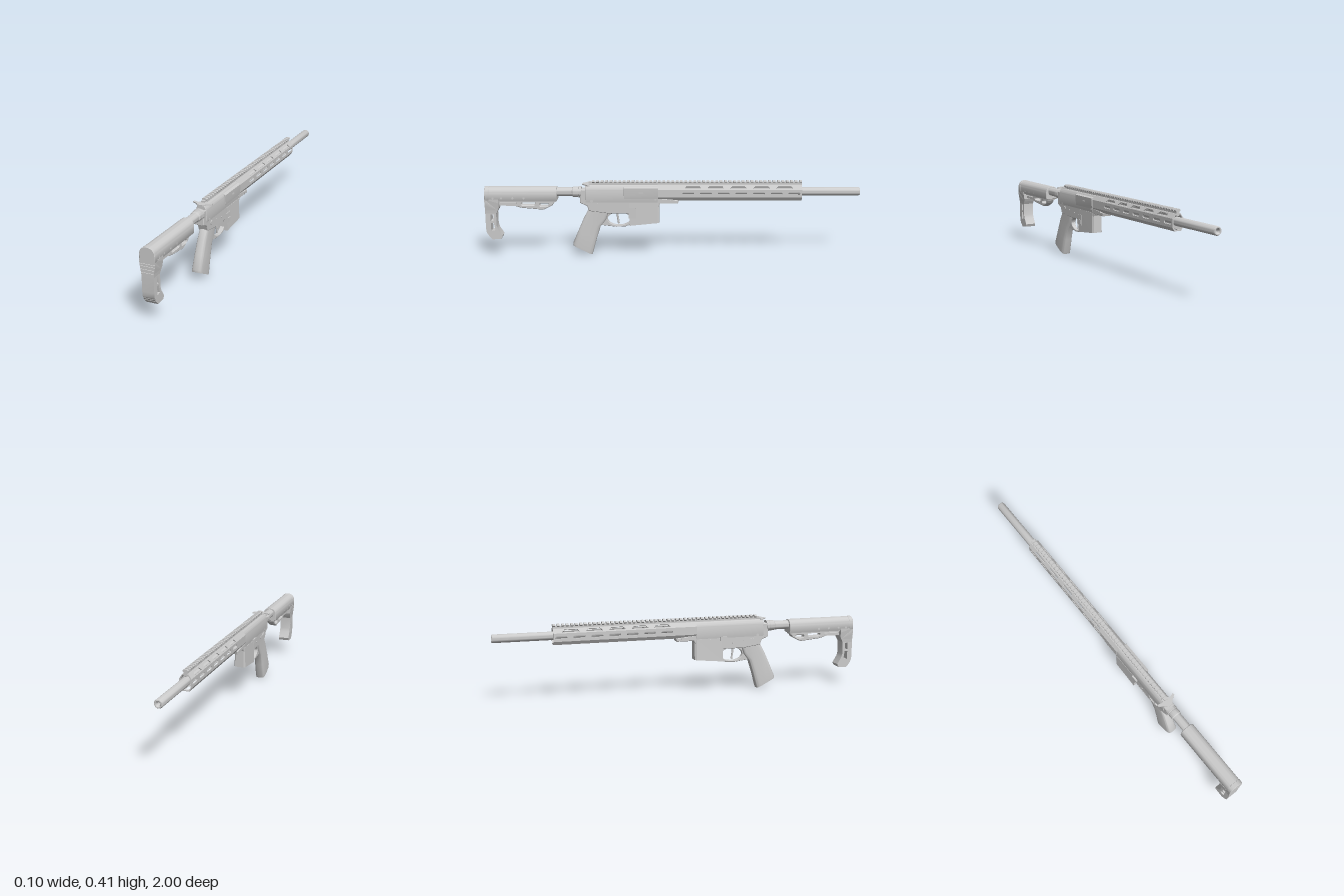
import * as THREE from 'three';
import { mergeGeometries, toCreasedNormals } from 'three/addons/utils/BufferGeometryUtils.js';

const grey = new THREE.MeshStandardMaterial({ color: 0xcccccc });
const V2 = (pts) => pts.map(([a, b]) => new THREE.Vector2(a, b));

export function createModel() {
  const model = new THREE.Group();
  const add = (name, geo) => {
    const mesh = new THREE.Mesh(geo, grey);
    mesh.name = name;
    model.add(mesh);
    return mesh;
  };
  const box = (name, x0, x1, y0, y1, z0, z1) => add(name,
    new THREE.BoxGeometry(x1 - x0, y1 - y0, z1 - z0).translate((x0 + x1) / 2, (y0 + y1) / 2, (z0 + z1) / 2));
  const shapeOf = (pts, holes = []) => {
    const s = new THREE.Shape(V2(pts));
    holes.forEach((h) => s.holes.push(h instanceof THREE.Path ? h : new THREE.Path(V2(h))));
    return s;
  };
  const extrude = (shape, depth, bevel = 0) => toCreasedNormals(new THREE.ExtrudeGeometry(shape, {
    depth: depth - 2 * bevel, bevelEnabled: bevel > 0, bevelSize: bevel, bevelThickness: bevel,
    bevelOffset: -bevel, bevelSegments: 1, curveSegments: 10,
  }).translate(0, 0, bevel), 0.5);
  // Side profile given as (z, y), extruded symmetrically across x
  const side = (pts, half, holes, bevel) =>
    extrude(shapeOf(pts, holes), half * 2, bevel).translate(0, 0, -half).rotateY(-Math.PI / 2);
  // Cross-section given as (x, y), extruded from z0 to z1
  const section = (shape, z0, z1, bevel) => extrude(shape, z1 - z0, bevel).translate(0, 0, z0);
  const slot = (cx, cy, length, height) => {
    const p = new THREE.Path(), r = height / 2, a = length / 2 - r;
    p.absarc(cx + a, cy, r, -Math.PI / 2, Math.PI / 2);
    p.absarc(cx - a, cy, r, Math.PI / 2, Math.PI * 1.5);
    p.closePath();
    return p;
  };
  // Turned part around the z axis from (radius, z) points, z increasing along the outside
  const turned = (name, pts, y) => add(name, toCreasedNormals(
    new THREE.LatheGeometry(V2(pts), 28).rotateX(Math.PI / 2), 0.6)).position.set(0, y, 0);
  const pin = (name, x0, x1, y, z, r) => add(name,
    new THREE.CylinderGeometry(r, r, x1 - x0, 16).rotateZ(Math.PI / 2).translate((x0 + x1) / 2, y, z));

  // Barrel with a recessed muzzle
  turned('barrel', [[0, -0.97], [0.009, -0.97], [0.009, -0.992], [0.014, -1], [0.019, -1], [0.022, -0.995],
    [0.022, -0.68], [0.015, -0.67], [0.015, 0.05], [0.026, 0.05], [0.026, 0.09], [0, 0.09]], 0.348);

  // Handguard: eight panels around the barrel, slotted on the sides, upper slopes and bottom
  const oct = [[0.031, 0.32], [0.031, 0.363], [0.015, 0.386], [-0.015, 0.386],
    [-0.031, 0.363], [-0.031, 0.32], [-0.019, 0.302], [0.019, 0.302]];
  const zFront = -0.69, zBack = 0.08;
  const panels = oct.map((p, i) => {
    const q = oct[(i + 1) % 8], v = new THREE.Vector3(q[0] - p[0], q[1] - p[1], 0), w = v.length();
    const holes = [];
    if (i === 0 || i === 4 || i === 6) {
      for (let k = 0; k < 7; k++) holes.push(slot(-0.085 - 0.094 * k, w / 2, 0.062, i === 6 ? 0.024 : 0.016));
    } else if (i === 1 || i === 3) {
      const [wide, thin] = i === 1 ? [0.006, w - 0.006] : [w - 0.006, 0.006];
      for (let k = 0; k < 5; k++) {
        const c = -0.11 - 0.122 * k;
        holes.push([[c - 0.046, wide], [c + 0.046, wide], [c + 0.032, thin], [c - 0.032, thin]]);
      }
    }
    const rect = [[zFront, 0], [zBack, 0], [zBack, w], [zFront, w]];
    const u = new THREE.Vector3(0, 0, 1);
    v.normalize();
    const m = new THREE.Matrix4().makeBasis(u, v, u.clone().cross(v)).setPosition(p[0], p[1], 0);
    return extrude(shapeOf(rect, holes), 0.005).applyMatrix4(m);
  });
  add('handguard', mergeGeometries(panels));

  // Top rail: continuous neck with evenly spaced teeth
  box('railNeck', -0.0085, 0.0085, 0.375, 0.399, -0.69, 0.445);
  const tooth = shapeOf([[-0.009, 0.394], [0.009, 0.394], [0.014, 0.4], [0.014, 0.403],
    [0.009, 0.408], [-0.009, 0.408], [-0.014, 0.403], [-0.014, 0.4]]);
  const teeth = [];
  for (let z = -0.69; z < 0.435; z += 0.0235) teeth.push(section(tooth, z, z + 0.0135));
  add('railTeeth', mergeGeometries(teeth));

  // Upper receiver
  const upper = new THREE.Shape();
  upper.moveTo(-0.026, 0.29);
  upper.lineTo(0.026, 0.29);
  upper.lineTo(0.029, 0.31);
  upper.lineTo(0.029, 0.352);
  upper.quadraticCurveTo(0.028, 0.372, 0.014, 0.385);
  upper.lineTo(-0.014, 0.385);
  upper.quadraticCurveTo(-0.028, 0.372, -0.029, 0.352);
  upper.lineTo(-0.029, 0.31);
  add('upperReceiver', section(upper, 0.075, 0.465, 0.003));

  // Raised ejection port block with its cover latch and hinge
  add('ejectionBlock', section(shapeOf([[0.02, 0.312], [0.031, 0.312], [0.034, 0.33], [0.036, 0.37], [0.014, 0.379]]),
    0.075, 0.258, 0.001));
  box('coverLatch', 0.03, 0.037, 0.343, 0.35, 0.155, 0.178);
  pin('coverHinge', 0.027, 0.033, 0.309, 0.09, 0.005);

  // Charging handle
  const wing = (s) => [[0.05 * s, 0.436], [0.052 * s, 0.448], [0.028 * s, 0.462]];
  add('chargingHandle', extrude(shapeOf([[-0.012, 0.425], [0.012, 0.425], [0.022, 0.445], ...wing(1),
    [0.012, 0.48], [-0.012, 0.48], ...wing(-1).reverse(), [-0.022, 0.445]]), 0.006)
    .rotateX(Math.PI / 2).translate(0, 0.391, 0));

  // Lower receiver
  add('lowerReceiver', side([[0.485, 0.362], [0.492, 0.35], [0.492, 0.29], [0.455, 0.272], [0.445, 0.245],
    [0.35, 0.232], [0.225, 0.232], [0.21, 0.25], [0.08, 0.25], [0.065, 0.285], [-0.03, 0.285], [-0.035, 0.302],
    [0.07, 0.315], [0.44, 0.315], [0.46, 0.362]], 0.0265, [], 0.003));
  // Hollow magazine well, widening slightly to an angled mouth
  const well = extrude(shapeOf([[-0.022, 0.07], [0.022, 0.07], [0.028, 0.08], [0.028, 0.23], [-0.028, 0.23], [-0.028, 0.08]],
    [[[-0.021, 0.082], [-0.021, 0.218], [0.021, 0.218], [0.021, 0.082]]]), 0.13)
    .rotateX(Math.PI / 2).translate(0, 0.29, 0);
  const wp = well.attributes.position;
  for (let i = 0; i < wp.count; i++) if (wp.getY(i) < 0.2) {
    wp.setY(i, 0.18 - (wp.getZ(i) - 0.07) * 0.1);
    wp.setX(i, wp.getX(i) * 1.12);
  }
  well.computeVertexNormals();
  add('magazineWell', well);

  // Trigger guard and trigger
  const guardHole = new THREE.Path();
  guardHole.absellipse(0.286, 0.198, 0.062, 0.036, 0, Math.PI * 2);
  add('triggerGuard', side([[0.375, 0.245], [0.395, 0.165], [0.355, 0.16], [0.3, 0.153], [0.25, 0.156],
    [0.215, 0.17], [0.215, 0.245]], 0.012, [guardHole], 0.002));
  const bend = new THREE.CatmullRomCurve3([[0.293, 0.24], [0.294, 0.212], [0.291, 0.19], [0.288, 0.17]]
    .map(([z, y]) => new THREE.Vector3(0, y, z)));
  add('trigger', new THREE.TubeGeometry(bend, 10, 0.0055, 8));

  // Pistol grip: rounded sections between back and front points [zBack, yBack, zFront, yFront, halfWidth]
  const rings = [[0.435, 0.265, 0.335, 0.25, 0.024], [0.452, 0.245, 0.355, 0.195, 0.024], [0.474, 0.205, 0.386, 0.155, 0.025],
    [0.505, 0.135, 0.408, 0.088, 0.027], [0.536, 0.064, 0.429, 0.01, 0.0285], [0.535, 0.052, 0.433, 0, 0.028]];
  const n = 28, pos = [], idx = [];
  const soft = (c) => Math.sign(c) * Math.pow(Math.abs(c), 0.45);
  rings.forEach(([zb, yb, zf, yf, hw]) => {
    for (let k = 0; k < n; k++) {
      const a = (k / n) * Math.PI * 2, t = 0.5 - 0.5 * soft(Math.cos(a));
      pos.push(hw * soft(Math.sin(a)), yb + (yf - yb) * t, zb + (zf - zb) * t);
    }
  });
  for (let j = 0; j < rings.length - 1; j++) for (let k = 0; k < n; k++) {
    const a = j * n + k, b = j * n + (k + 1) % n;
    idx.push(a, a + n, b, b, a + n, b + n);
  }
  const last = (rings.length - 1) * n;
  for (let k = 1; k < n - 1; k++) idx.push(last, last + k + 1, last + k);
  const grip = new THREE.BufferGeometry();
  grip.setAttribute('position', new THREE.Float32BufferAttribute(pos, 3));
  grip.setIndex(idx);
  add('pistolGrip', toCreasedNormals(grip, 0.7));

  // Controls and pins
  box('magazineRelease', 0.026, 0.037, 0.212, 0.234, 0.205, 0.226);
  box('releaseFence', 0.026, 0.032, 0.205, 0.262, 0.195, 0.235);
  box('boltCatch', -0.034, -0.026, 0.235, 0.295, 0.222, 0.24);
  box('boltCatchPaddle', -0.037, -0.026, 0.278, 0.3, 0.215, 0.25);
  pin('selectorHub', -0.033, 0.03, 0.275, 0.405, 0.012);
  box('selectorLever', -0.035, -0.029, 0.269, 0.281, 0.36, 0.41);
  [[0.3, 0.43, 0.008], [0.3, 0.0, 0.008], [0.272, 0.35, 0.005], [0.262, 0.29, 0.005]]
    .forEach(([y, z, r]) => pin('receiverPin', -0.029, 0.029, y, z, r));

  // Buffer tube with its end plate and locking nut
  turned('bufferTube', [[0, 0.485], [0.03, 0.485], [0.03, 0.5], [0.026, 0.502], [0.028, 0.505],
    [0.028, 0.53], [0.024, 0.535], [0.024, 0.8], [0, 0.8]], 0.345);

  // Stock body with a rounded cheek rest and a butt cap
  const cheek = (hw, top) => {
    const s = new THREE.Shape();
    s.moveTo(-hw * 0.9, 0.3);
    s.lineTo(hw * 0.9, 0.3);
    s.lineTo(hw, 0.308);
    s.lineTo(hw, 0.335);
    s.bezierCurveTo(hw, 0.362, hw * 0.6, top, 0, top);
    s.bezierCurveTo(-hw * 0.6, top, -hw, 0.362, -hw, 0.335);
    s.lineTo(-hw, 0.308);
    return s;
  };
  add('cheekRest', section(cheek(0.0385, 0.375), 0.615, 0.98, 0.002));
  add('buttCap', section(cheek(0.04, 0.376), 0.975, 1, 0.002));
  [0.79, 0.85, 0.91, 0.955].forEach((z) => pin('stockSocket', -0.039, 0.039, 0.318, z, 0.006));

  // Butt shoulder: fine ridges on the back, narrowing from the stock to the leg
  const ridges = [0.306, 0.294, 0.282, 0.266, 0.25].flatMap((y) => [[1, y + 0.001], [0.998, y], [1, y - 0.001]]);
  const shoulder = side([[0.925, 0.312], [1, 0.312], ...ridges, [1, 0.232], [0.942, 0.232], [0.932, 0.25],
    [0.925, 0.265], [0.925, 0.29]], 0.04);
  const sp = shoulder.attributes.position;
  for (let i = 0; i < sp.count; i++) {
    sp.setX(i, sp.getX(i) * (0.775 + 0.225 * THREE.MathUtils.smoothstep(sp.getY(i), 0.225, 0.305)));
  }
  shoulder.computeVertexNormals();
  add('buttShoulder', shoulder);

  // Butt leg with two windows and a ridged, forward-curving foot
  add('buttLeg', side([[0.942, 0.235], [1, 0.235], [1, 0.155], [0.998, 0.131], [0.993, 0.122], [0.993, 0.119],
    [0.986, 0.11], [0.986, 0.107], [0.976, 0.097], [0.968, 0.088], [0.92, 0.092], [0.913, 0.108], [0.936, 0.145],
    [0.942, 0.165]], 0.031, [
    [[0.957, 0.19], [0.973, 0.19], [0.973, 0.228], [0.957, 0.228]],
    [[0.95, 0.14], [0.972, 0.135], [0.973, 0.18], [0.957, 0.18]],
  ]));

  // Adjustment lever and its linking strut under the stock
  add('leverHousing', side([[0.835, 0.305], [0.835, 0.268], [0.8, 0.26], [0.69, 0.25], [0.64, 0.275], [0.615, 0.312]],
    0.02, [slot(0.77, 0.283, 0.075, 0.016), slot(0.685, 0.277, 0.05, 0.016)], 0.003));
  box('adjustmentLever', -0.014, 0.014, 0.262, 0.272, 0.71, 0.82);
  box('stockStrut', -0.018, 0.018, 0.272, 0.286, 0.82, 0.945);
  box('stockKeel', -0.024, 0.024, 0.292, 0.304, 0.625, 0.95);

  return model;
}
